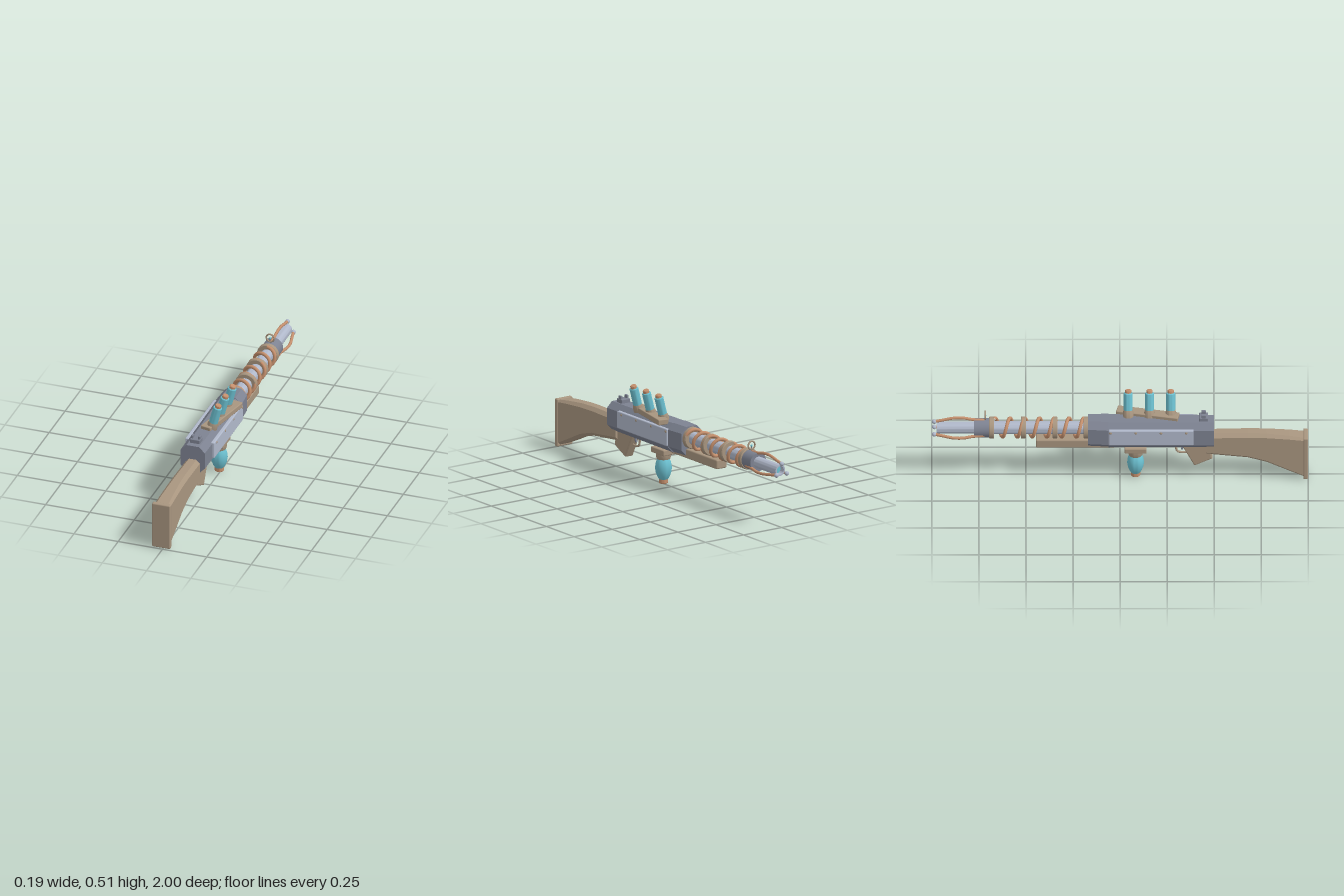
import * as THREE from 'three';
import { toCreasedNormals } from 'three/addons/utils/BufferGeometryUtils.js';
import { RoundedBoxGeometry } from 'three/addons/geometries/RoundedBoxGeometry.js';

const AXIS_Y = 0.308; // height of the barrel axis

// Chamfered rectangles [z, halfWidth, bottom, top, chamfer], joined from +z to -z
function loft(sections) {
  const rings = sections.map(([z, w, b, t, c]) => [
    [w, b + c], [w, t - c], [w - c, t], [c - w, t],
    [-w, t - c], [-w, b + c], [c - w, b], [w - c, b],
  ].map(([x, y]) => [x, y, z]));
  const pos = [];
  const tri = (...pts) => pts.forEach((p) => pos.push(...p));
  for (let k = 0; k < rings.length - 1; k++) {
    for (let i = 0; i < 8; i++) {
      const j = (i + 1) % 8;
      const [a, b, c, d] = [rings[k][i], rings[k][j], rings[k + 1][i], rings[k + 1][j]];
      tri(a, c, b);
      tri(c, d, b);
    }
  }
  const first = rings[0], last = rings[rings.length - 1];
  for (let i = 1; i < 7; i++) {
    tri(first[0], first[i], first[i + 1]);
    tri(last[0], last[i + 1], last[i]);
  }
  const g = new THREE.BufferGeometry();
  g.setAttribute('position', new THREE.Float32BufferAttribute(pos, 3));
  g.computeVertexNormals();
  return g;
}

const lathe = (pts, seg = 28) =>
  toCreasedNormals(new THREE.LatheGeometry(pts.map(([r, y]) => new THREE.Vector2(r, y)), seg), 0.6);

// Turned part along the barrel; profile is [radius, distance towards -z]
const barrelLathe = (pts) => lathe(pts).rotateX(-Math.PI / 2);

// Side outline given as [z, y], extruded across x
function sideExtrude(pts, width, bevel) {
  const shape = new THREE.Shape(pts.map(([z, y]) => new THREE.Vector2(-z, y)));
  const g = new THREE.ExtrudeGeometry(shape, {
    depth: width - 2 * bevel, bevelEnabled: bevel > 0, bevelSize: bevel, bevelThickness: bevel,
    bevelOffset: -bevel, bevelSegments: 2,
  });
  return g.translate(0, 0, bevel - width / 2).rotateY(Math.PI / 2);
}

export function createModel() {
  const root = new THREE.Group();
  root.name = 'rifle';
  const body = new THREE.Group();
  body.name = 'rifleBody';
  body.position.x = -0.009;
  root.add(body);

  const mat = (name, color) => {
    const m = new THREE.MeshStandardMaterial({ color });
    m.name = name;
    return m;
  };
  const brown = mat('brown', 0xa8957f);
  const gunmetal = mat('gunmetal', 0x7d8291);
  const steel = mat('paleSteel', 0xb0b8ca);
  const teal = mat('tealGlass', 0x6cc0d0);
  const copper = mat('copper', 0xc48f6d);

  const add = (name, geo, material, x = 0, y = 0, z = 0, parent = body) => {
    const m = new THREE.Mesh(geo, material);
    m.name = name;
    m.position.set(x, y, z);
    parent.add(m);
    return m;
  };
  const box = (w, h, d, r = 0.005) => new RoundedBoxGeometry(w, h, d, 2, r);

  // Stock and butt plate
  add('stock', loft([
    [0.985, 0.045, 0.012, 0.262, 0.012],
    [0.9, 0.044, 0.048, 0.274, 0.015],
    [0.78, 0.042, 0.102, 0.285, 0.018],
    [0.68, 0.041, 0.13, 0.288, 0.019],
    [0.46, 0.04, 0.152, 0.284, 0.02],
  ]), brown);
  add('buttPlate', box(0.103, 0.263, 0.026, 0.007), brown, 0, 0.137, 0.987);

  // Receiver and its front block
  add('receiver', loft([
    [0.5, 0.068, 0.207, 0.364, 0.032],
    [-0.06, 0.073, 0.207, 0.368, 0.034],
  ]), gunmetal);
  add('receiverFrontBlock', loft([
    [-0.06, 0.073, 0.211, 0.371, 0.034],
    [-0.17, 0.066, 0.214, 0.371, 0.032],
  ]), gunmetal);

  // Side plates with rivets
  for (const s of [1, -1]) {
    add('sidePlate', box(0.022, 0.095, 0.452, 0.006), steel, s * 0.072, 0.294, 0.166);
    for (const z of [0.352, 0.218, 0.084, -0.05]) {
      const rivet = add('rivet', new THREE.SphereGeometry(0.008, 12, 8), brown, s * 0.081, 0.327, z);
      rivet.scale.x = 0.65;
    }
  }

  // Rear sight
  add('rearSightBase', box(0.056, 0.03, 0.048, 0.004), gunmetal, 0, 0.371, 0.445);
  for (const s of [1, -1]) add('rearSightEar', box(0.012, 0.03, 0.024, 0.003), gunmetal, s * 0.02, 0.388, 0.445);

  // Grip, trigger and guard
  add('grip', sideExtrude([[0.472, 0.225], [0.32, 0.225], [0.395, 0.077], [0.492, 0.123]], 0.054, 0.007), brown);
  const guard = new THREE.CatmullRomCurve3([
    [0.375, 0.152], [0.33, 0.149], [0.306, 0.155], [0.298, 0.18], [0.296, 0.215],
  ].map(([z, y]) => new THREE.Vector3(0, y, z)));
  add('triggerGuard', new THREE.TubeGeometry(guard, 20, 0.006, 8), brown);
  add('trigger', new THREE.BoxGeometry(0.01, 0.045, 0.01), gunmetal, 0, 0.19, 0.335).rotation.x = 0.25;

  // Forend
  add('forend', box(0.07, 0.052, 0.417, 0.008), brown, 0, 0.224, -0.2385);

  // Hanging bulb
  add('bulbMount', box(0.085, 0.032, 0.118, 0.006), brown, 0, 0.181, 0.083);
  add('bulbCollar', lathe([[0, 0.135], [0.036, 0.135], [0.041, 0.15], [0.041, 0.17], [0, 0.17]]), brown, 0, 0, 0.083);
  add('bulb', lathe([
    [0.024, 0.022], [0.033, 0.037], [0.041, 0.058], [0.045, 0.083],
    [0.043, 0.105], [0.037, 0.125], [0.028, 0.14],
  ], 32), teal, 0, 0, 0.083);
  add('bulbCap', lathe([[0, 0], [0.021, 0], [0.025, 0.004], [0.025, 0.027], [0, 0.027]]), copper, 0, 0, 0.083);

  // Angled top rail carrying three leaning glass tubes
  add('tubeRail', box(0.06, 0.031, 0.335, 0.005), brown, 0.037, 0.3685, 0.148).rotation.y = -0.205;
  for (const z of [0.27, 0.157, 0.044]) {
    const tube = new THREE.Group();
    tube.name = 'glassTube';
    tube.position.set(0.027, 0.37, z);
    tube.rotation.z = -0.26;
    body.add(tube);
    add('tubeSocket', lathe([[0, -0.01], [0.029, -0.01], [0.029, 0.012], [0.024, 0.03], [0, 0.03]]), brown, 0, 0, 0, tube);
    add('tubeGlass', lathe([[0, 0.028], [0.024, 0.028], [0.024, 0.122], [0.021, 0.126], [0, 0.126]]), teal, 0, 0, 0, tube);
    add('tubeCap', lathe([[0, 0.124], [0.017, 0.124], [0.017, 0.138], [0.014, 0.142], [0, 0.142]]), copper, 0, 0, 0, tube);
  }

  // Barrel, collar, muzzle and glowing bore
  add('barrel', barrelLathe([[0, 0.15], [0.035, 0.15], [0.035, 0.72], [0, 0.72]]), steel, 0, AXIS_Y);
  add('muzzleCollar', barrelLathe([[0, 0.68], [0.052, 0.68], [0.052, 0.775], [0.03, 0.775]]), gunmetal, 0, AXIS_Y);
  add('muzzle', barrelLathe([[0.031, 0.76], [0.031, 0.975], [0.023, 0.975], [0.023, 0.93]]), steel, 0, AXIS_Y);
  add('bore', barrelLathe([[0.0235, 0.945], [0, 0.945]]), teal, 0, AXIS_Y);

  // Barrel rings
  for (const z of [0.18, 0.345, 0.513, 0.682]) {
    add('barrelRing', barrelLathe([
      [0.034, -0.014], [0.055, -0.014], [0.059, -0.01], [0.059, 0.01], [0.055, 0.014], [0.034, 0.014],
    ]), brown, 0, AXIS_Y, -z);
  }

  // Coil around the barrel
  const turns = 6.25;
  const coil = new THREE.CatmullRomCurve3(Array.from({ length: 101 }, (_, i) => {
    const a = (i / 100) * turns * Math.PI * 2;
    return new THREE.Vector3(Math.cos(a) * 0.05, AXIS_Y + Math.sin(a) * 0.05, -0.18 - (0.49 * i) / 100);
  }));
  add('coil', new THREE.TubeGeometry(coil, 260, 0.0095, 10), copper);

  // Three bowed prongs with ball tips
  for (let i = 0; i < 3; i++) {
    const a = Math.PI / 2 + (i * Math.PI * 2) / 3;
    const at = (r, z) => new THREE.Vector3(Math.cos(a) * r, AXIS_Y + Math.sin(a) * r, z);
    const curve = new THREE.CatmullRomCurve3([
      at(0.047, -0.72), at(0.052, -0.78), at(0.062, -0.835), at(0.061, -0.885), at(0.049, -0.94), at(0.039, -0.985),
    ]);
    add('prong', new THREE.TubeGeometry(curve, 28, 0.008, 10), copper);
    const tip = at(0.039, -0.987);
    add('prongTip', new THREE.SphereGeometry(0.0125, 16, 12), steel, tip.x, tip.y, tip.z);
  }

  // Front ring sight with bead
  add('frontSightRing', new THREE.TorusGeometry(0.022, 0.0045, 8, 28), brown, 0, 0.388, -0.715);
  add('frontSightPost', new THREE.CylinderGeometry(0.003, 0.003, 0.026, 8), gunmetal, 0, 0.371, -0.715);
  add('frontSightBead', new THREE.SphereGeometry(0.006, 12, 8), teal, 0, 0.386, -0.715);

  return root;
}
